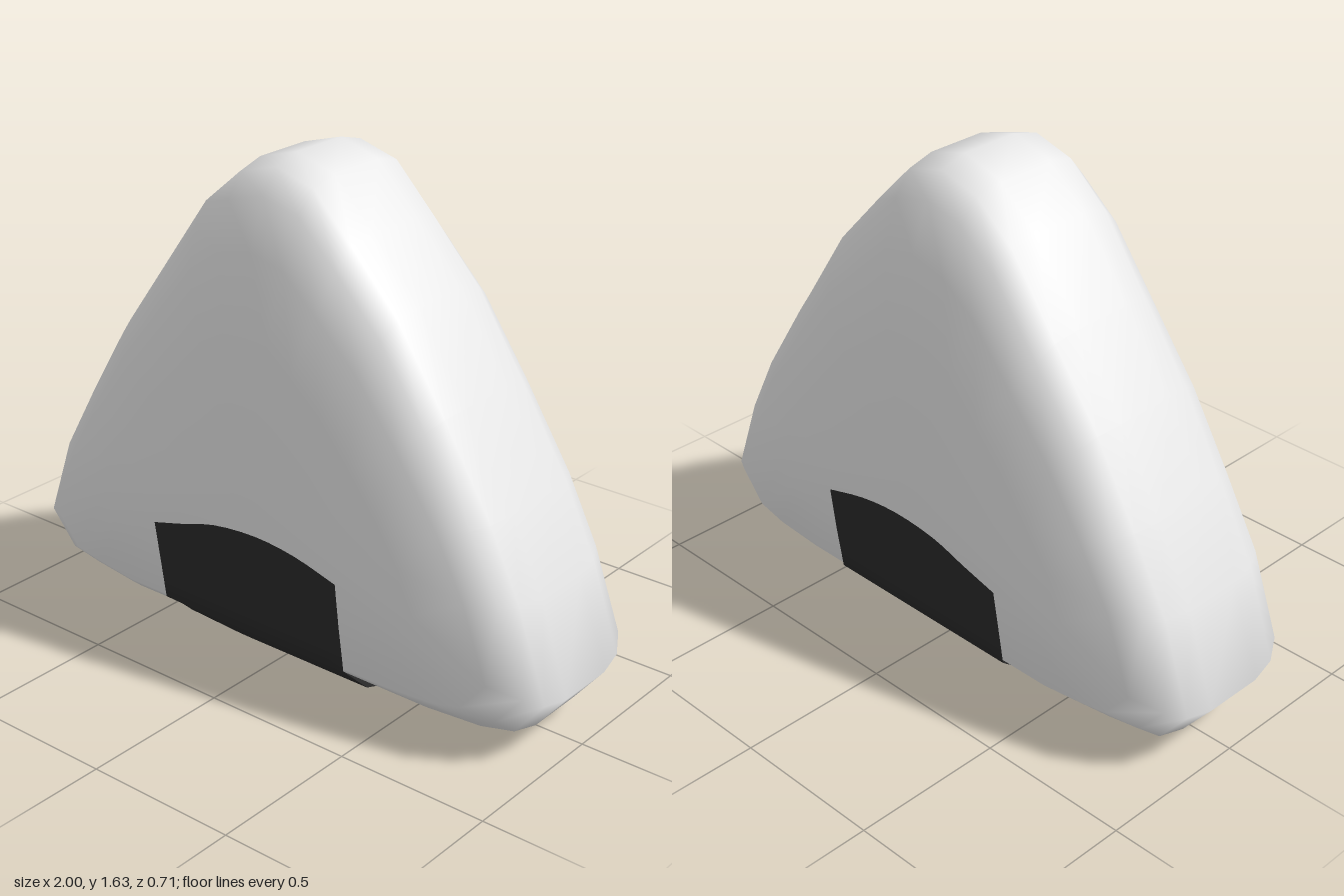
import * as THREE from 'three';
import { mergeVertices } from 'three/addons/utils/BufferGeometryUtils.js';

// Skin a grid of points (rows of equal length) into a smooth surface
function skin(rows, closed) {
  const n = rows[0].length;
  const index = [];
  for (let i = 0; i < rows.length - 1; i++) {
    for (let j = 0; j < (closed ? n : n - 1); j++) {
      const k = (j + 1) % n;
      const a = i * n + j, b = i * n + k, c = a + n, d = b + n;
      index.push(a, b, c, b, d, c);
    }
  }
  let geo = new THREE.BufferGeometry();
  geo.setAttribute('position', new THREE.Float32BufferAttribute(rows.flat(2), 3));
  geo.setIndex(index);
  geo = mergeVertices(geo, 1e-4);
  geo.computeVertexNormals();
  return geo;
}

// Rounded triangle outline, clockwise from the tip
const outline = [
  [0, 1.63], [0.14, 1.59], [0.28, 1.445], [0.45, 1.26], [0.62, 1.0], [0.79, 0.72], [0.9, 0.49],
  [1, 0.2], [0.9, 0.075], [0.78, 0.045], [0.58, 0.03], [0.36, 0.03], [0, 0.03],
  [-0.36, 0.03], [-0.62, 0.03], [-0.78, 0.052], [-0.9, 0.075], [-1, 0.2], [-0.9, 0.5],
  [-0.77, 0.74], [-0.62, 1.0], [-0.45, 1.235], [-0.28, 1.47], [-0.14, 1.59],
];
const midY = 0.65;

// Half thickness: z, width scale, scale above the middle, scale below it
const slices = [
  [0.352, 0, 0, 0], [0.349, 0.3, 0.25, 0.24], [0.338, 0.62, 0.5, 0.48],
  [0.308, 0.86, 0.745, 0.81], [0.25, 0.95, 0.9, 0.89], [0.19, 0.985, 0.975, 0.97], [0.1, 1, 1, 1],
];

function riceGeometry() {
  const back = slices.map(([z, ...s]) => [-z, ...s]).reverse();
  const rows = [...slices, ...back].map(([z, sx, up, down]) =>
    outline.map(([x, y]) => [x * sx, midY + (y - midY) * (y > midY ? up : down), z]));
  return skin(rows, true);
}

// Dark sheet folded under the bottom, with an arched upper edge on both faces
function wrapGeometry() {
  const edge = new THREE.CatmullRomCurve3([
    [0.355, 0.455], [0.2, 0.495], [0.05, 0.51], [-0.12, 0.495], [-0.24, 0.46], [-0.37, 0.425],
  ].map(([x, y]) => new THREE.Vector3(x, y, 0))).getPoints(15);
  const fold = [[0.338, 0.3], [0.323, 0.2], [0.315, 0.145], [0.25, 0.083], [0.2, 0.036], [0.1, 0.002]];
  const row = (side, z, y) => edge.map((p) =>
    [p.x, (y ?? p.y) + (y < 0.1 ? Math.max(0, -p.x - 0.15) * 0.05 : 0), side * z]);
  const half = (side) => [row(side, 0.357), ...fold.map(([z, y]) => row(side, z, y))];
  return skin([...half(1), ...half(-1).reverse()], false);
}

export function createModel() {
  const riceWhite = new THREE.MeshStandardMaterial({ color: 0xe7e7e7 });
  riceWhite.name = 'riceWhite';
  const seaweedBlack = new THREE.MeshStandardMaterial({ color: 0x2a2a2a, side: THREE.DoubleSide });
  seaweedBlack.name = 'seaweedBlack';

  const rice = new THREE.Mesh(riceGeometry(), riceWhite);
  rice.name = 'riceBody';
  const wrap = new THREE.Mesh(wrapGeometry(), seaweedBlack);
  wrap.name = 'seaweedWrap';

  const model = new THREE.Group();
  model.name = 'riceBall';
  model.add(rice, wrap);
  return model;
}
